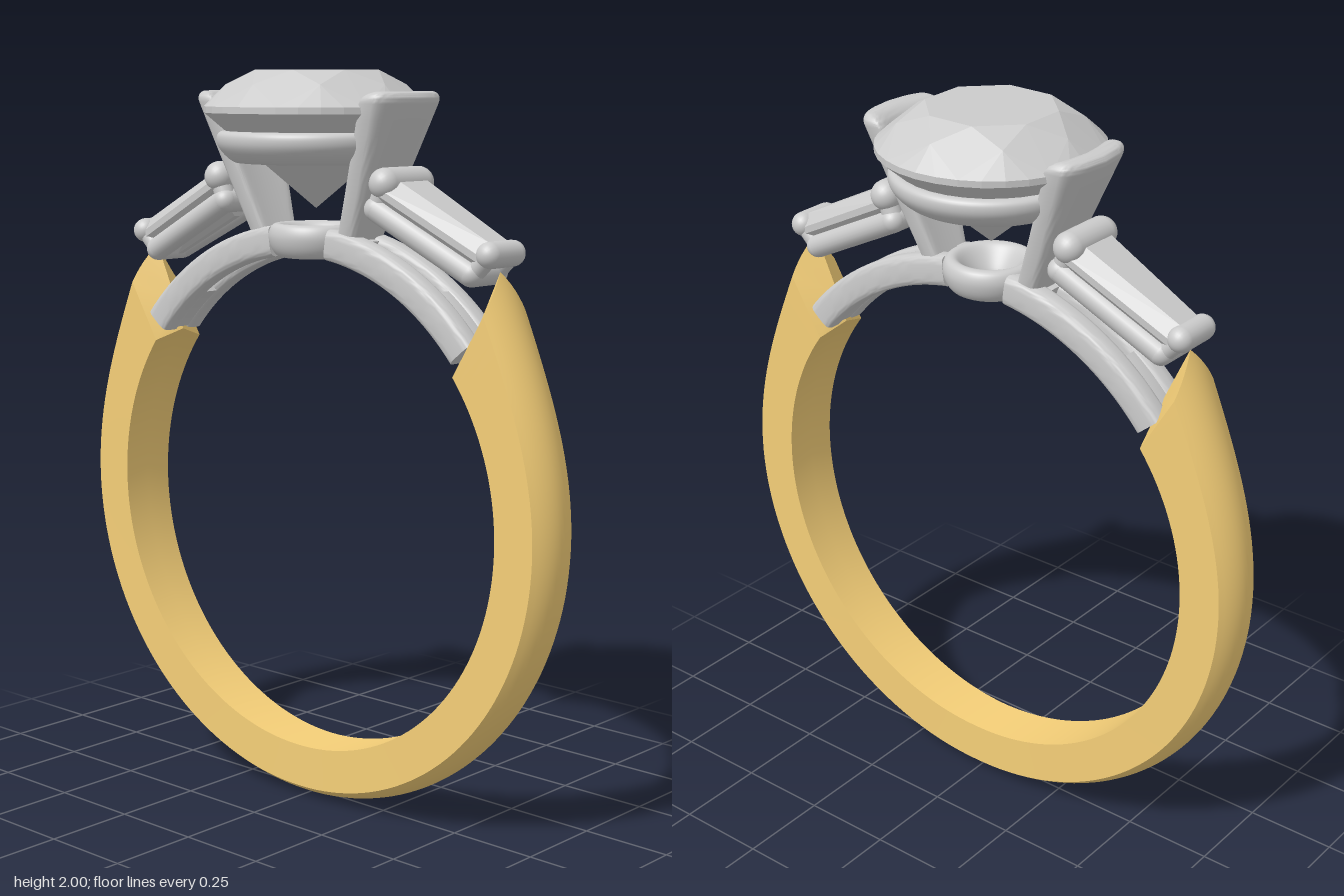
import * as THREE from 'three';
import { toCreasedNormals } from 'three/addons/utils/BufferGeometryUtils.js';
import { ConvexGeometry } from 'three/addons/geometries/ConvexGeometry.js';

const metal = new THREE.MeshStandardMaterial({ color: 0xcccccc });
const gold = new THREE.MeshStandardMaterial({ color: 0xf5cf78 });
const V = (x, y, z) => new THREE.Vector3(x, y, z);
const CY = 0.83, RI = 0.68; // finger hole centre height and radius
const DEG = Math.PI / 180;

function add(parent, name, geometry, material = metal) {
  const mesh = new THREE.Mesh(geometry, material);
  mesh.name = name;
  parent.add(mesh);
  return mesh;
}

// Skin a list of equal-length closed cross-sections and cap both ends
function loft(rings, crease = 0.6, capCentres) {
  const n = rings[0].length, last = rings.length - 1;
  const pts = rings.flat(), idx = [];
  for (let i = 0; i < last; i++) {
    for (let j = 0; j < n; j++) {
      const k = (j + 1) % n, a = i * n + j, b = i * n + k;
      idx.push(a, b, a + n, b, b + n, a + n);
    }
  }
  [0, last].forEach((r, e) => {
    const c = pts.length;
    pts.push(capCentres ? capCentres[e]
      : rings[r].reduce((s, p) => s.add(p), V(0, 0, 0)).divideScalar(n));
    for (let j = 0; j < n; j++) {
      const a = r * n + j, b = r * n + (j + 1) % n;
      if (e) idx.push(a, b, c); else idx.push(b, a, c);
    }
  });
  // Turn the faces outward if the enclosed volume is negative
  let vol = 0;
  for (let i = 0; i < idx.length; i += 3) {
    vol += pts[idx[i]].dot(pts[idx[i + 1]].clone().cross(pts[idx[i + 2]]));
  }
  if (vol < 0) idx.reverse();
  const g = new THREE.BufferGeometry().setFromPoints(pts);
  g.setIndex(idx);
  return toCreasedNormals(g, crease);
}

// Rounded rectangle outline with half sizes a and b, as [u, w] pairs
function roundedSection(a, b, count = 32, power = 0.4) {
  return Array.from({ length: count }, (_, i) => {
    const t = (i / count) * Math.PI * 2, c = Math.cos(t), s = Math.sin(t);
    return [a * Math.sign(c) * Math.abs(c) ** power, b * Math.sign(s) * Math.abs(s) ** power];
  });
}

const lathe = (profile) => new THREE.LatheGeometry(
  new THREE.SplineCurve([...profile, profile[0]].map(([x, y]) => new THREE.Vector2(x, y))).getPoints(36), 64);

// Domed band that thickens upward and ends in pointed shoulders
function bandGeometry() {
  const polar = (deg, r, z) => V(r * Math.sin(deg * DEG), CY - r * Math.cos(deg * DEG), z);
  const section = [[-1, 0], [0, 0], [1, 0]]; // [z fraction, 0 inner / 1 outer]
  for (let i = 0; i <= 12; i++) section.push([1 - i / 6, 1]);
  const rings = [];
  for (let i = 0; i <= 120; i++) {
    const s = i / 60 - 1;
    rings.push(section.map(([z, outer]) => {
      const end = outer ? 131.7 + 5.5 * (1 - Math.abs(z)) : 130 - 3 * Math.abs(z);
      const a = Math.abs(s) * end;
      const R = 0.828 + 0.088 * Math.max(0, (a - 90) / 47) ** 3.5;
      const w = 0.07 + 0.018 * a / 137;
      return polar(s * end, outer ? R - 0.03 * z * z : RI, z * w);
    }));
  }
  return loft(rings, 0.5, [polar(-133, 0.75, 0), polar(133, 0.75, 0)]);
}

// Piece of the arch under the setting, between two angles from the top
function archGeometry(from, to, rMid, halfR, zMid, halfZ) {
  const rings = [];
  for (let i = 0; i <= 20; i++) {
    const a = (from + (to - from) * i / 20) * DEG;
    rings.push(roundedSection(halfR, halfZ, 32, 0.5).map(([u, w]) =>
      V((rMid + u) * Math.sin(a), CY + (rMid + u) * Math.cos(a), zMid + w)));
  }
  return loft(rings);
}

// Leaning plate claw, curved around the main stone, with a rounded top
function clawGeometry() {
  const rings = [];
  for (let i = 0; i <= 18; i++) {
    const t = i < 10 ? 0.93 * i / 10 : 0.93 + 0.07 * Math.sin((i - 10) / 8 * Math.PI / 2);
    const round = i < 10 ? 1 : 0.15 + 0.85 * Math.cos((i - 10) / 8 * Math.PI / 2);
    const halfZ = (0.055 + 0.08 * t) - 0.04 * (1 - round);
    rings.push(roundedSection((0.031 + 0.009 * t) * round, halfZ).map(([u, w]) =>
      V(0.138 + 0.19 * t + u - 1.7 * w * w, 1.505 + 0.44 * t, w)));
  }
  return loft(rings);
}

function capsule(parent, name, from, to, radius) {
  const dir = to.clone().sub(from);
  const m = add(parent, name, new THREE.CapsuleGeometry(radius, dir.length(), 8, 20));
  m.position.copy(from).add(to).multiplyScalar(0.5);
  m.quaternion.setFromUnitVectors(V(0, 1, 0), dir.normalize());
}

// Tapered side stone with its bars and rails, tilted down the shoulder
function sideSetting() {
  const g = new THREE.Group();
  g.name = 'sideSetting';
  const pts = [];
  for (const z of [-1, 1]) {
    pts.push(V(-0.18, -0.012, z * 0.095), V(0.18, -0.012, z * 0.068));
    pts.push(V(-0.18, -0.03, z * 0.095), V(0.18, -0.03, z * 0.068));
    pts.push(V(-0.165, 0.02, z * 0.055), V(0.165, 0.02, z * 0.038));
    pts.push(V(-0.13, -0.105, z * 0.012), V(0.13, -0.105, z * 0.01));
    capsule(g, 'sideRail', V(-0.17, -0.073, z * 0.07), V(0.16, -0.073, z * 0.048), 0.033);
    capsule(g, 'outerPost', V(0.185, -0.01, z * 0.045), V(0.165, -0.07, z * 0.045), 0.025);
    capsule(g, 'innerPost', V(-0.176, -0.01, z * 0.065), V(-0.17, -0.07, z * 0.065), 0.028);
  }
  add(g, 'sideStone', new ConvexGeometry(pts));
  capsule(g, 'outerBar', V(0.186, -0.004, -0.046), V(0.186, -0.004, 0.046), 0.034);
  capsule(g, 'innerBar', V(-0.178, -0.004, -0.066), V(-0.178, -0.004, 0.066), 0.042);
  capsule(g, 'outerCrossRail', V(0.16, -0.073, -0.048), V(0.16, -0.073, 0.048), 0.033);
  capsule(g, 'innerCrossRail', V(-0.17, -0.073, -0.07), V(-0.17, -0.073, 0.07), 0.033);
  g.position.set(0.46, 1.635, 0);
  g.rotation.z = -0.47;
  return g;
}

// Faceted round stone: girdle, crown rings, flat table and pointed base
function mainStoneGeometry() {
  const pts = [V(0, 1.635, 0)];
  const ring = (n, r, y, turn) => {
    for (let i = 0; i < n; i++) {
      const a = ((i + turn) / n) * Math.PI * 2;
      pts.push(V(r * Math.sin(a), y, r * Math.cos(a)));
    }
  };
  ring(32, 0.298, 1.888, 0);
  ring(32, 0.298, 1.905, 0);
  ring(8, 0.24, 1.962, 0);
  ring(8, 0.175, 2.0, 0.5);
  return new ConvexGeometry(pts);
}

export function createModel() {
  const model = new THREE.Group();
  model.name = 'ring';
  add(model, 'band', bandGeometry(), gold);
  add(model, 'mainStone', mainStoneGeometry());
  add(model, 'stoneSeat', lathe([[0.195, 1.765], [0.215, 1.757], [0.242, 1.775],
    [0.262, 1.802], [0.264, 1.828], [0.25, 1.84], [0.228, 1.835], [0.205, 1.8]].reverse())).material =
    new THREE.MeshStandardMaterial({ color: 0xcccccc, side: THREE.DoubleSide });
  add(model, 'baseCollar', lathe([[0.045, 1.51], [0.095, 1.505], [0.118, 1.525], [0.128, 1.56],
    [0.12, 1.588], [0.1, 1.595], [0.08, 1.58], [0.05, 1.535]])).material =
    new THREE.MeshStandardMaterial({ color: 0xcccccc, side: THREE.DoubleSide });

  // Both sides are the same half turned around the vertical axis
  for (const turn of [0, Math.PI]) {
    const side = new THREE.Group();
    side.name = turn ? 'rightSide' : 'leftSide';
    side.rotation.y = turn;
    add(side, 'claw', clawGeometry());
    for (const z of [-1, 1]) add(side, 'archRail', archGeometry(8, 50, 0.722, 0.042, z * 0.046, 0.032));
    add(side, 'archInnerBlock', archGeometry(8, 16, 0.72, 0.036, 0, 0.04));
    add(side, 'archOuterBlock', archGeometry(36, 49.5, 0.72, 0.036, 0, 0.04));
    side.add(sideSetting());
    model.add(side);
  }
  return model;
}
